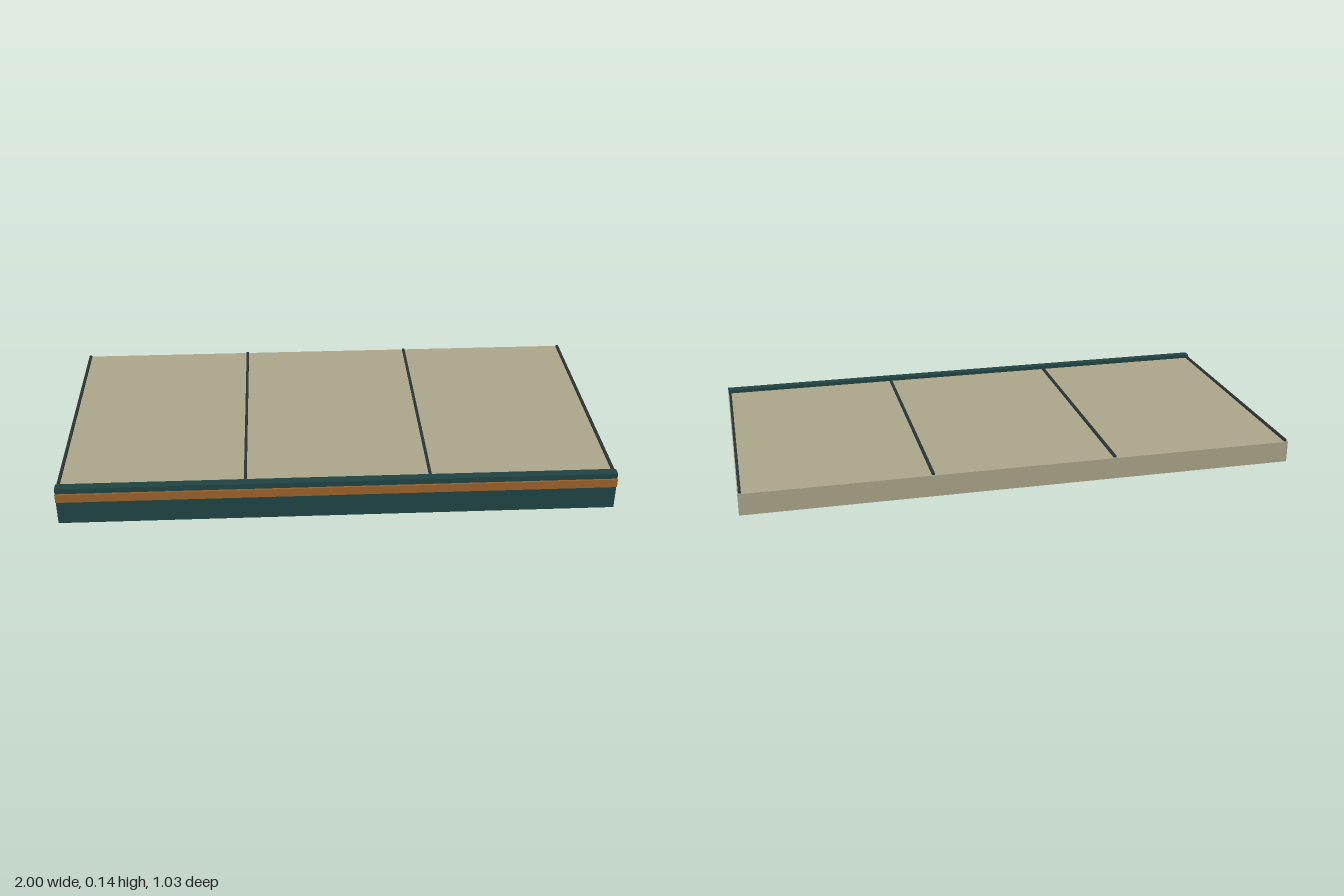
import * as THREE from 'three';

export function createModel() {
  const model = new THREE.Group();
  const mat = (name, color) => {
    const m = new THREE.MeshStandardMaterial({ color });
    m.name = name;
    return m;
  };
  const stone = mat('warm grey panel', 0xaca78b);
  const teal = mat('dark teal', 0x214444);
  const copper = mat('copper brown', 0x9a622c);
  const charcoal = mat('charcoal seam', 0x2b3335);

  // Box given by its min and max corners
  const box = (name, material, [x0, y0, z0], [x1, y1, z1]) => {
    const mesh = new THREE.Mesh(new THREE.BoxGeometry(x1 - x0, y1 - y0, z1 - z0), material);
    mesh.position.set((x0 + x1) / 2, (y0 + y1) / 2, (z0 + z1) / 2);
    mesh.name = name;
    model.add(mesh);
  };

  // Roof slab, its front edge set into the fascia
  box('slab', stone, [-1, 0.052, -0.512], [1, 0.131, 0.485]);

  // Front fascia board and its trim stripe
  box('fascia', teal, [-0.999, 0, 0.475], [0.999, 0.145, 0.507]);
  box('fasciaStripe', copper, [-0.999, 0.092, 0.507], [0.999, 0.124, 0.514]);

  // Raised seams: two edges and two panel joints
  for (const x of [-0.992, -0.331, 0.331, 0.992]) {
    box('seam', charcoal, [x - 0.005, 0.131, -0.507], [x + 0.005, 0.138, 0.475]);
  }

  return model;
}
